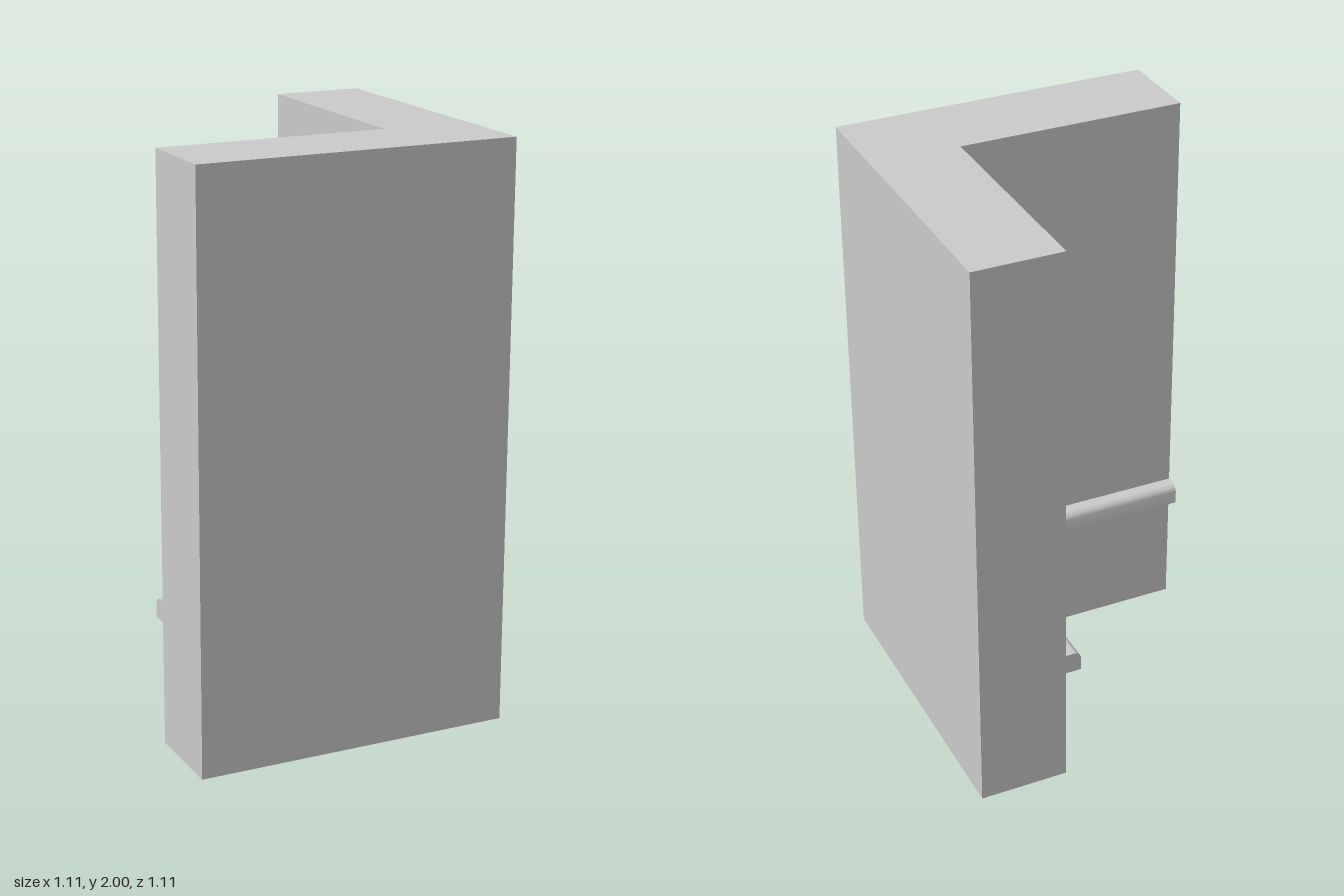
import * as THREE from 'three';
import { toCreasedNormals } from 'three/addons/utils/BufferGeometryUtils.js';

const HALF = 0.553;   // half width of the corner wall
const INNER = 0.243;  // inner wall faces, in x and z
const HEIGHT = 2;
const RAIL_END = -0.555;

export function createModel() {
  const group = new THREE.Group();
  const material = new THREE.MeshStandardMaterial({ color: 0xcccccc });

  const add = (name, geometry) => {
    const mesh = new THREE.Mesh(geometry, material);
    mesh.name = name;
    group.add(mesh);
  };

  // L-shaped wall: plan drawn with y = -z, then stood upright
  const plan = new THREE.Shape([
    [-HALF, -HALF], [HALF, -HALF], [HALF, HALF],
    [INNER, HALF], [INNER, -INNER], [-HALF, -INNER],
  ].map(([x, y]) => new THREE.Vector2(x, y)));
  const wall = new THREE.ExtrudeGeometry(plan, { depth: HEIGHT, bevelEnabled: false });
  wall.rotateX(-Math.PI / 2);
  add('cornerWall', wall);

  // Rail section: x is the distance out from the wall, top outer edge rounded
  const section = new THREE.Shape();
  section.moveTo(0, 0.43);
  section.lineTo(0.055, 0.43);
  section.lineTo(0.055, 0.472);
  section.bezierCurveTo(0.055, 0.488, 0.045, 0.502, 0.028, 0.502);
  section.lineTo(0, 0.502);
  section.closePath();

  // Extrude one rail and bend its inner end to the mitre in the corner
  const rail = (place) => {
    const geometry = new THREE.ExtrudeGeometry(section, { depth: 1, bevelEnabled: false, curveSegments: 8 });
    const p = geometry.attributes.position;
    for (let i = 0; i < p.count; i++) {
      const [x, z] = place(INNER - p.getX(i), p.getZ(i));
      p.setXYZ(i, x, p.getY(i), z);
    }
    return toCreasedNormals(geometry, 0.6);
  };
  const { lerp } = THREE.MathUtils;
  add('frontWallRail', rail((face, t) => [lerp(-HALF, face, t), face]));
  add('leftWallRail', rail((face, t) => [face, lerp(face, RAIL_END, t)]));

  return group;
}
